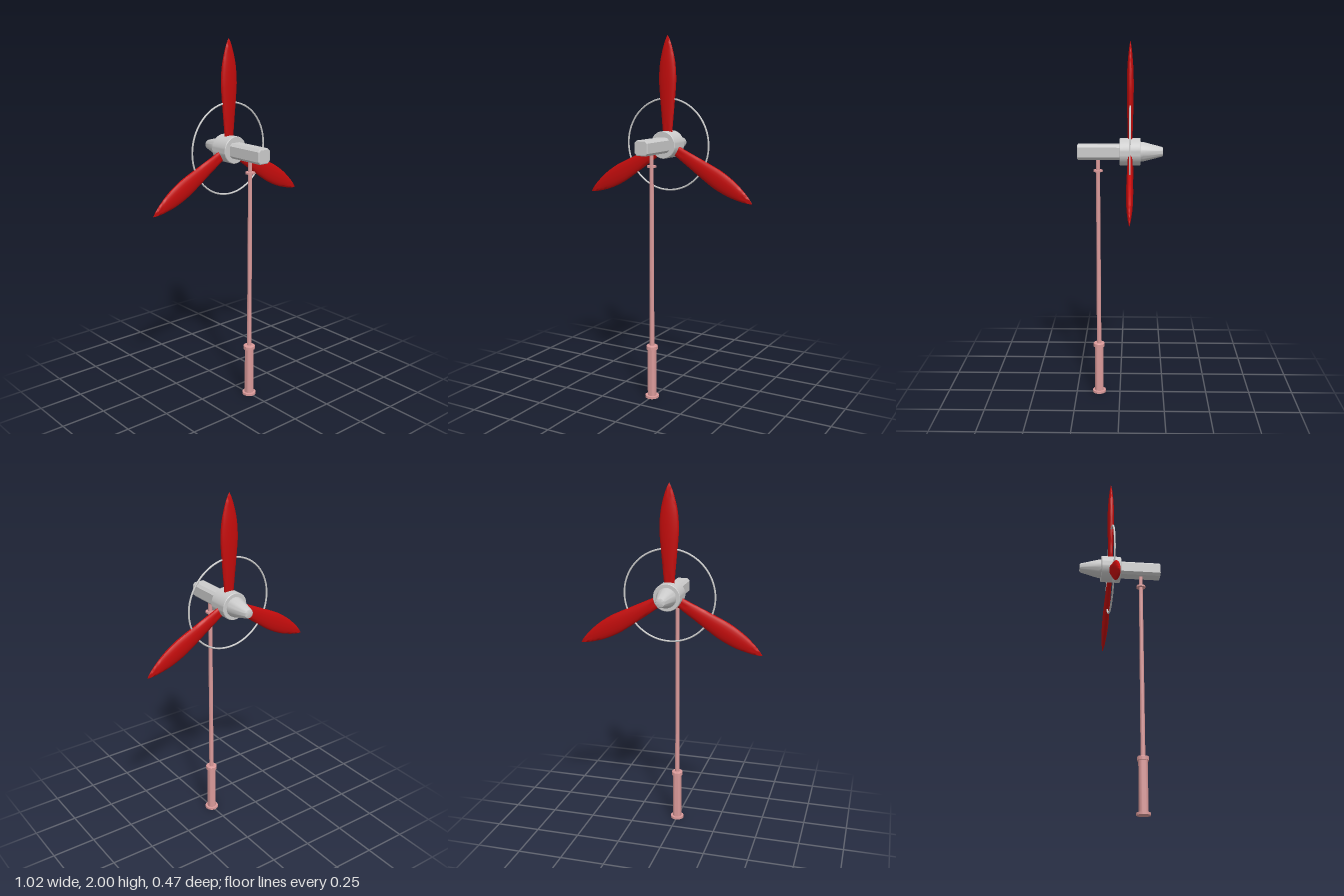
import * as THREE from 'three';
import { toCreasedNormals } from 'three/addons/utils/BufferGeometryUtils.js';

const HUB_Y = 1.41, ROTOR_Z = -0.055, POST_Z = 0.12;

const grey = new THREE.MeshStandardMaterial({ color: 0xcccccc });
const red = new THREE.MeshStandardMaterial({ color: 0xc40c0c });
const pink = new THREE.MeshStandardMaterial({ color: 0xdb9a9a });

// Turned part from [radius, height] pairs, bottom to top
function turned(points, sides = 32) {
  const profile = points.map(([r, y]) => new THREE.Vector2(r, y));
  return toCreasedNormals(new THREE.LatheGeometry(profile, sides), 0.6);
}

function part(name, geometry, material, parent) {
  const mesh = new THREE.Mesh(geometry, material);
  mesh.name = name;
  parent.add(mesh);
  return mesh;
}

// Leaf-shaped blade: a turned spindle flattened front to back
function bladeGeometry() {
  const outline = new THREE.SplineCurve([
    [0.027, 0.04], [0.03, 0.08], [0.041, 0.2], [0.051, 0.31], [0.053, 0.37],
    [0.046, 0.45], [0.028, 0.525], [0.012, 0.568], [0, 0.59],
  ].map(([r, y]) => new THREE.Vector2(r, y))).getPoints(32);
  outline.forEach(p => { p.x = Math.max(p.x, 0); });
  const geometry = new THREE.LatheGeometry(outline, 20);
  const pos = geometry.attributes.position;
  for (let i = 0; i < pos.count; i++) {
    const flatness = THREE.MathUtils.lerp(0.46, 0.35, Math.min(pos.getY(i) / 0.35, 1));
    pos.setZ(i, pos.getZ(i) * flatness);
  }
  return toCreasedNormals(geometry, 1.2);
}

// Long box with chamfered sides and a bevelled end
function housingGeometry() {
  const h = 0.041, c = 0.027, bevel = 0.006, length = 0.25;
  const shape = new THREE.Shape([
    [h, -c], [h, c], [c, h], [-c, h], [-h, c], [-h, -c], [-c, -h], [c, -h],
  ].map(([x, y]) => new THREE.Vector2(x, y)));
  const geometry = new THREE.ExtrudeGeometry(shape, {
    depth: length - 2 * bevel, bevelThickness: bevel, bevelSize: bevel,
    bevelOffset: -bevel, bevelSegments: 2,
  });
  return geometry.translate(0, 0, bevel);
}

export function createModel() {
  const model = new THREE.Group();
  model.name = 'windTurbine';

  // Post: foot, thick sleeve with collar, slim pole with flange
  const post = new THREE.Group();
  post.name = 'post';
  post.position.z = POST_Z;
  model.add(post);
  part('foot', turned([[0, 0], [0.038, 0], [0.038, 0.013], [0, 0.013]]), pink, post);
  part('sleeve', turned([[0.025, 0.01], [0.025, 0.29]]), pink, post);
  part('sleeveCollar', turned([[0, 0.283], [0.032, 0.283], [0.032, 0.302], [0.028, 0.305], [0, 0.305]]), pink, post);
  part('pole', turned([[0.013, 0.3], [0.011, 1.38]], 20), pink, post);
  part('poleFlange', turned([[0, 1.3], [0.026, 1.3], [0.026, 1.31], [0, 1.31]]), pink, post);

  // Housing, hub and nose along the rotor axis
  const housing = part('housing', housingGeometry(), grey, model);
  housing.position.set(0, HUB_Y, -0.018);

  const hub = part('hub', turned([
    [0, -0.056], [0.072, -0.056], [0.075, -0.053], [0.075, 0.053], [0.072, 0.056], [0, 0.056],
  ], 48), grey, model);
  hub.rotation.x = -Math.PI / 2;
  hub.position.set(0, HUB_Y, ROTOR_Z);

  const nose = part('noseCone', turned([
    [0.054, 0], [0.053, 0.016], [0.027, 0.116], [0.024, 0.122], [0.02, 0.124], [0, 0.124],
  ]), grey, model);
  nose.rotation.x = -Math.PI / 2;
  nose.position.set(0, HUB_Y, -0.11);

  // Rotor: three blades joined by a thin ring
  const rotor = new THREE.Group();
  rotor.name = 'rotor';
  rotor.position.set(0, HUB_Y, ROTOR_Z);
  model.add(rotor);
  const blade = bladeGeometry();
  for (let i = 0; i < 3; i++) {
    part('blade' + (i + 1), blade, red, rotor).rotation.z = i * Math.PI * 2 / 3;
  }
  part('rotorRing', new THREE.TorusGeometry(0.252, 0.005, 10, 80), grey, rotor);

  return model;
}
